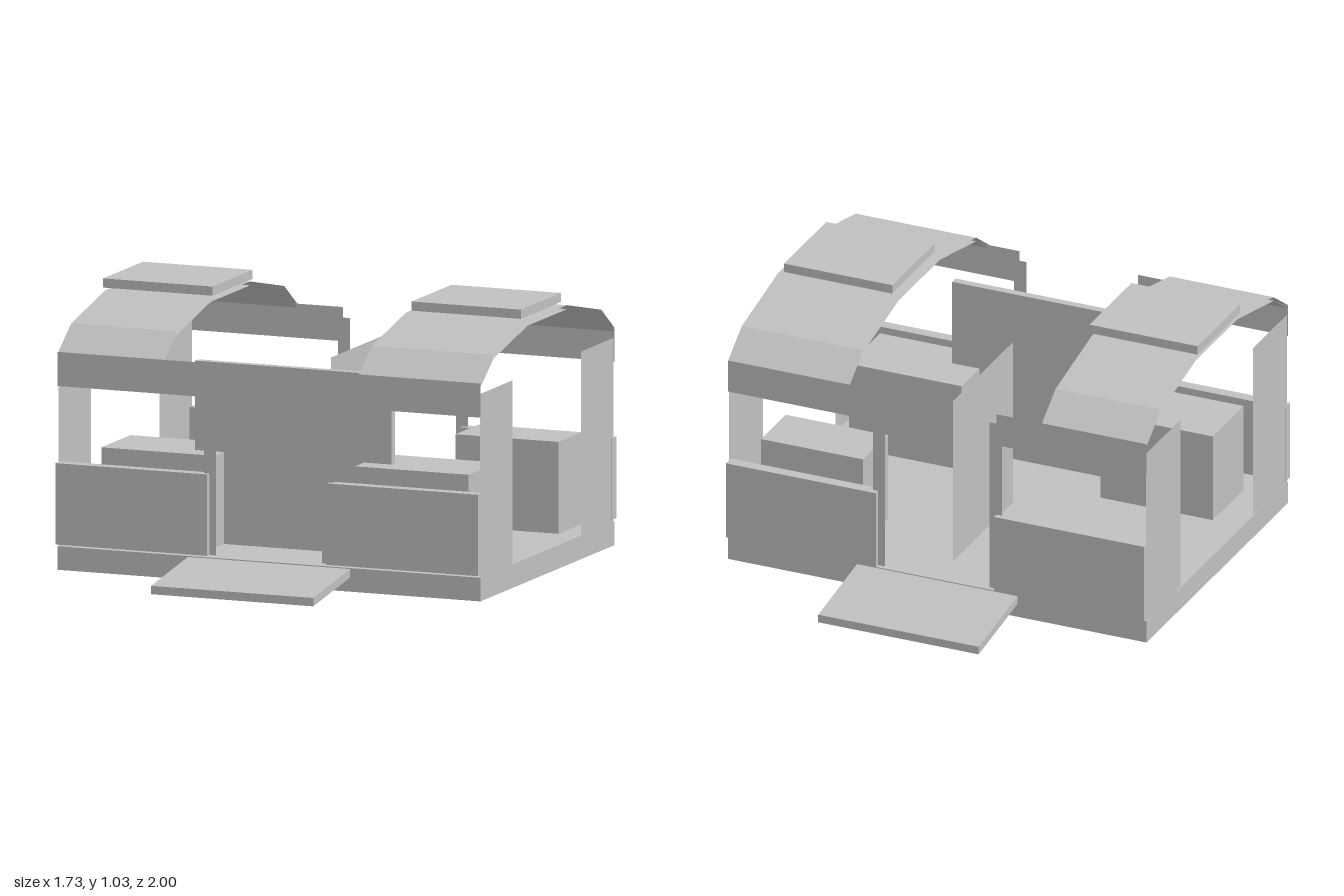
import * as THREE from 'three';

const grey = new THREE.MeshStandardMaterial({ color: 0xc0c0c0, side: THREE.DoubleSide });
grey.name = 'light grey';

export function createModel() {
  const model = new THREE.Group();
  model.name = 'pavilion';

  const add = (name, geometry) => {
    const mesh = new THREE.Mesh(geometry, grey);
    mesh.name = name;
    model.add(mesh);
    return mesh;
  };
  // Box given by its lower and upper limits on each axis
  const box = (name, x0, x1, y0, y1, z0, z1) => {
    const g = new THREE.BoxGeometry(x1 - x0, y1 - y0, z1 - z0);
    g.translate((x0 + x1) / 2, (y0 + y1) / 2, (z0 + z1) / 2);
    return add(name, g);
  };
  const polygon = (points) => new THREE.Shape(points.map(([x, y]) => new THREE.Vector2(x, y)));
  // Upright sheet across x
  const sideSheet = (name, x, y0, y1, z0, z1) => {
    const g = new THREE.PlaneGeometry(z1 - z0, y1 - y0);
    g.rotateY(Math.PI / 2);
    g.translate(x, (y0 + y1) / 2, (z0 + z1) / 2);
    return add(name, g);
  };

  // Floor slab
  box('floor', -0.86, 0.86, 0, 0.09, -0.645, 0.645);

  // Sloping ramps at front and back
  for (const s of [1, -1]) {
    const profile = polygon([[0.64, 0.055], [1, 0.003], [1, 0.035], [0.64, 0.087]]);
    const g = new THREE.ExtrudeGeometry(profile, { depth: 0.66, bevelEnabled: false });
    g.rotateY(-Math.PI / 2);
    g.translate(0.33, 0, 0);
    if (s < 0) g.rotateY(Math.PI);
    add(s > 0 ? 'frontRamp' : 'backRamp', g);
  }

  // Corner walls: low panel, window frame with door post, side sheet
  for (const sz of [1, -1]) {
    for (const sx of [1, -1]) {
      const xs = [0.243 * sx, 0.86 * sx].sort((a, b) => a - b);
      const zs = [0.622 * sz, 0.667 * sz].sort((a, b) => a - b);
      box('lowPanel', ...xs, 0.1, 0.41, ...zs);

      const frame = polygon([
        [0.215, 0.1], [0.265, 0.1], [0.265, 0.7], [0.86, 0.7],
        [0.86, 0.83], [0.243, 0.83], [0.243, 0.79], [0.215, 0.79],
      ].map(([x, y]) => [x * sx, y]));
      const g = new THREE.ShapeGeometry(frame);
      g.translate(0, 0, 0.645 * sz);
      add('windowFrame', g);

      sideSheet('sideWall', 0.858 * sx, 0.09, 0.79, ...[0.33 * sz, 0.643 * sz].sort((a, b) => a - b));
    }
  }

  // Faceted arched roofs, each with an outer and inner skin
  const arch = [[0.645, 0.83], [0.52, 0.918], [0.19, 0.99], [-0.19, 0.99], [-0.52, 0.918], [-0.645, 0.83]];
  for (const [x0, x1] of [[-0.858, -0.43], [0.365, 0.86]]) {
    for (const drop of [0, 0.015]) {
      let g = new THREE.PlaneGeometry(1, 1, 1, arch.length - 1);
      const p = g.attributes.position;
      for (let i = 0; i < p.count; i++) {
        const [z, y] = arch[arch.length - 1 - Math.floor(i / 2)];
        p.setXYZ(i, i % 2 ? x1 : x0, y - drop, z);
      }
      g = g.toNonIndexed();
      g.computeVertexNormals();
      add(drop ? 'roofLining' : 'roof', g);
    }
  }

  // Plates above the roofs
  box('roofPlate', -0.865, -0.42, 1, 1.035, -0.19, 0.195);
  box('roofPlate', 0.39, 0.835, 1, 1.035, -0.19, 0.195);

  // Partitions
  box('frontPartition', -0.4, 0.4, 0.1, 0.79, 0.378, 0.41);
  sideSheet('middlePartition', 0, 0.1, 0.77, -0.5, 0.047);

  // Seats
  box('seat', -0.745, -0.283, 0.1, 0.45, 0.215, 0.497);
  box('seat', 0.287, 0.75, 0.1, 0.45, 0.215, 0.497);
  box('seat', 0.37, 0.79, 0.1, 0.45, -0.5, -0.275);

  return model;
}
